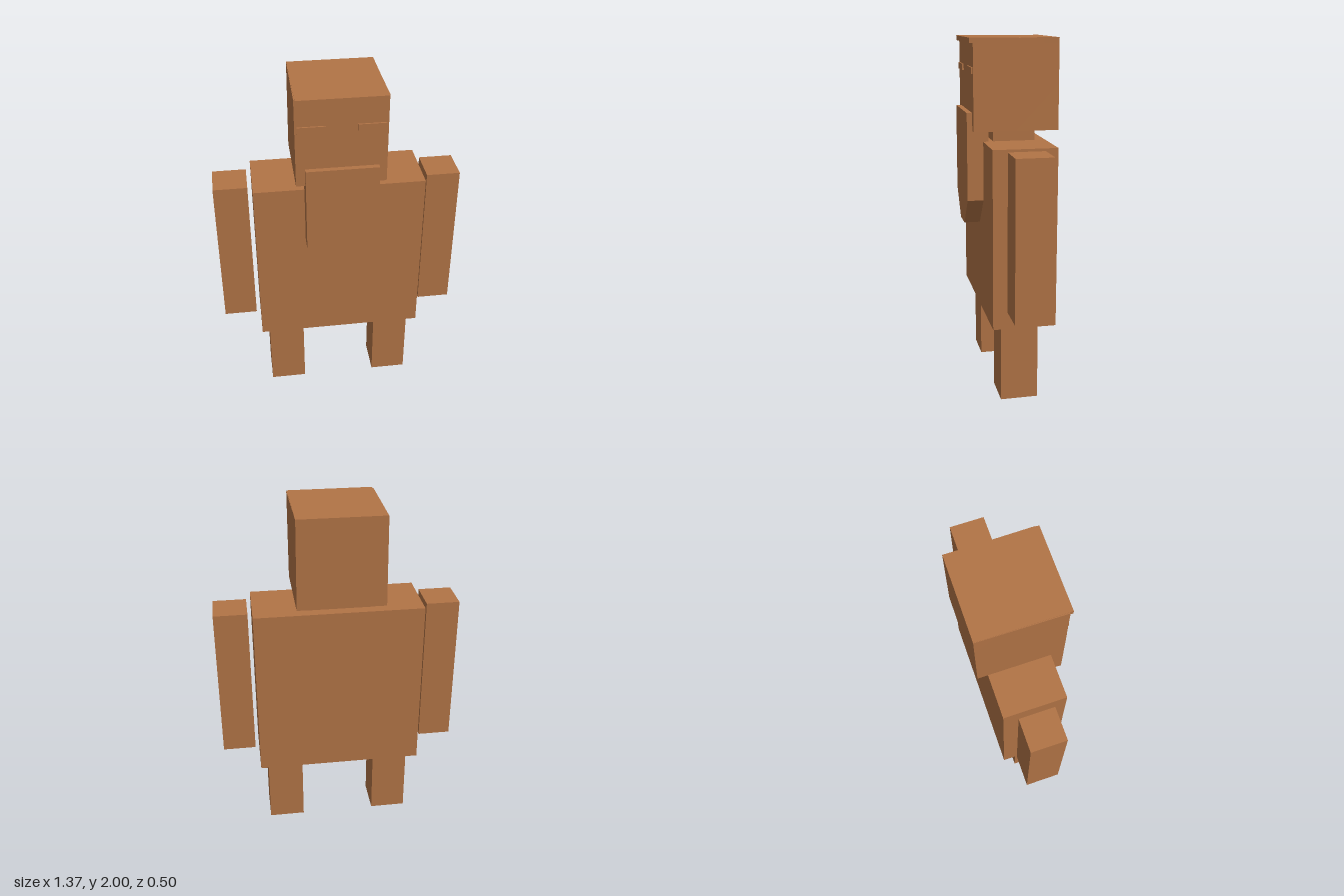
import * as THREE from 'three';

export function createModel() {
  const model = new THREE.Group();
  model.name = 'blockFigure';
  const clay = new THREE.MeshStandardMaterial({ name: 'clayBrown', color: 0xb27446 });

  // Box given by its lower and upper corners
  function block(name, [x0, y0, z0], [x1, y1, z1]) {
    const mesh = new THREE.Mesh(new THREE.BoxGeometry(x1 - x0, y1 - y0, z1 - z0), clay);
    mesh.position.set((x0 + x1) / 2, (y0 + y1) / 2, (z0 + z1) / 2);
    mesh.name = name;
    model.add(mesh);
    return mesh;
  }

  block('torso', [-0.475, 0.445, -0.19], [0.472, 1.44, 0.162]);
  block('neck', [-0.19, 1.44, -0.13], [0.19, 1.5, 0.105]);

  // Head, a touch wider at the lower front and back than at the top
  const head = block('head', [-0.246, 1.5, -0.252], [0.24, 1.998, 0.222]);
  const p = head.geometry.attributes.position;
  for (let i = 0; i < p.count; i++) {
    if (p.getY(i) > 0 && p.getZ(i) < 0) p.setX(i, p.getX(i) * 0.98);
  }
  head.geometry.computeVertexNormals();

  // Cap edge overhanging the face
  block('brow', [-0.24, 1.972, -0.252], [0.236, 2, 0.24]);

  // Arms, legs and eyes in pairs
  for (const [side, s] of [['left', 1], ['right', -1]]) {
    const pair = (name, xIn, xOut, y0, y1, z0, z1) => {
      const a = s * xIn - 0.002, b = s * xOut - 0.002;
      block(side + name, [Math.min(a, b), y0, z0], [Math.max(a, b), y1, z1]);
    };
    pair('Arm', 0.499, 0.687, 0.55, 1.43, -0.115, 0.087);
    pair('Leg', 0.219, 0.427, 0, 0.445, -0.1, 0.11);
    pair('Eye', 0.082, 0.232, 1.81, 1.846, 0.222, 0.231);
  }

  // Beard: a tapered slab hanging from the face
  const outline = [[-0.197, 1.6], [-0.197, 1.11], [-0.068, 0.952], [0.066, 0.952], [0.197, 1.11], [0.197, 1.6]];
  const shape = new THREE.Shape(outline.map(([x, y]) => new THREE.Vector2(x, y)));
  const beard = new THREE.Mesh(new THREE.ExtrudeGeometry(shape, { depth: 0.12, bevelEnabled: false }), clay);
  beard.position.z = 0.132;
  beard.name = 'beard';
  model.add(beard);

  return model;
}
